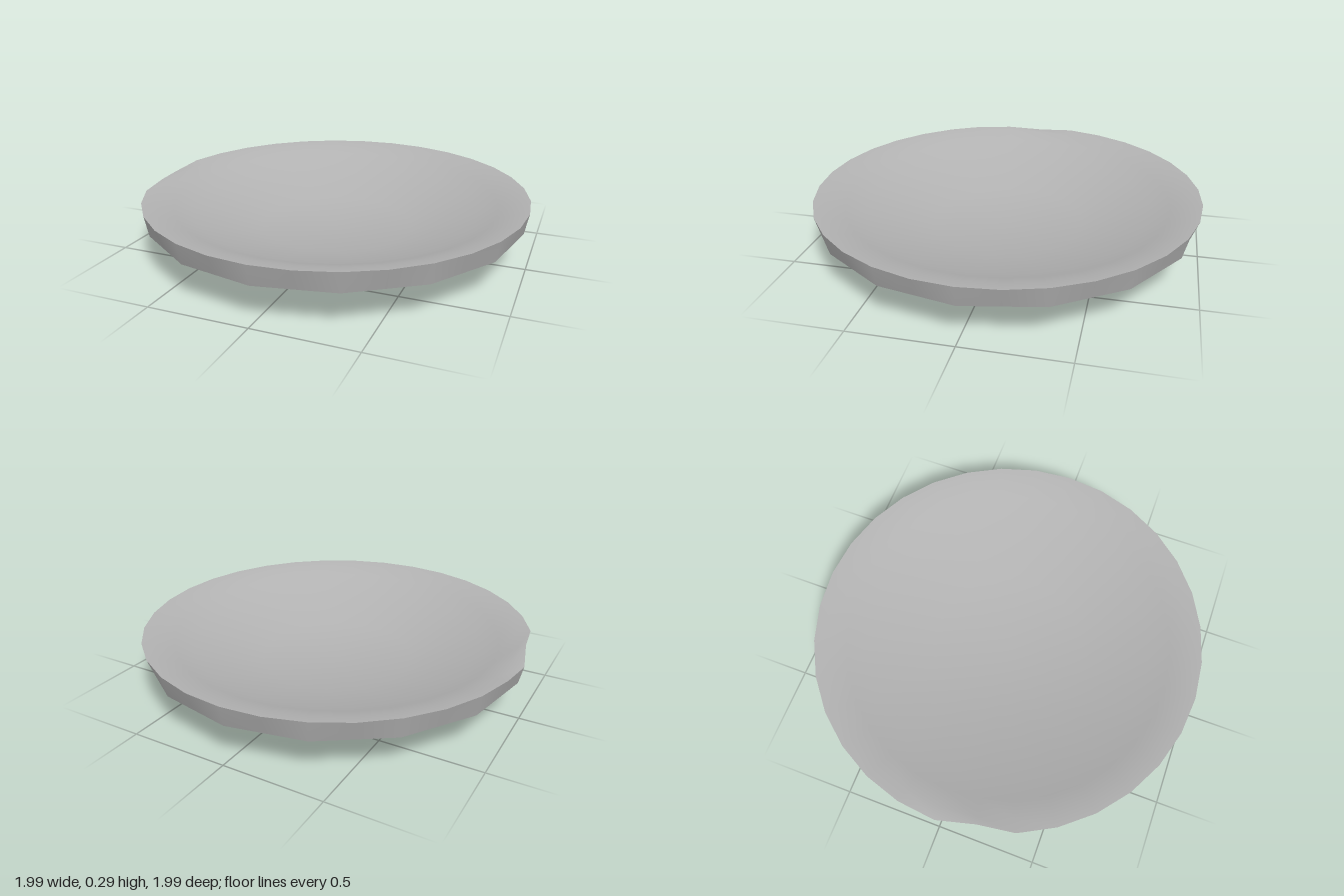
import * as THREE from 'three';
import { mergeVertices } from 'three/addons/utils/BufferGeometryUtils.js';

const SIDES = 32;
const material = new THREE.MeshStandardMaterial({ color: 0xb2b2b2 });
material.name = 'grey ceramic';

// Revolves [radius, height, coarse] points; coarse rings become 16-sided.
function revolve(name, profile) {
  const geometry = new THREE.LatheGeometry(profile.map(([r, y]) => new THREE.Vector2(r, y)), SIDES);
  const pos = geometry.attributes.position;
  const n = profile.length;
  const half = Math.cos(Math.PI / 16);
  for (let i = 0; i <= SIDES; i++) {
    for (let j = 0; j < n; j++) {
      const k = i * n + j;
      const [r, y, coarse] = profile[j];
      const s = coarse && i % 2 ? half : 1;
      pos.setXYZ(k, pos.getX(k) * s, y, pos.getZ(k) * s);
      // Small chip in the lip on the right-hand side
      if (r > 0.98 && i === 24) pos.setY(k, y - 0.015);
      if (r > 0.98 && i === 25) pos.setXYZ(k, pos.getX(k) * 0.97, y + 0.005, pos.getZ(k));
    }
  }
  geometry.deleteAttribute('uv');
  geometry.deleteAttribute('normal');
  const smooth = mergeVertices(geometry, 1e-4);
  smooth.computeVertexNormals();
  const mesh = new THREE.Mesh(smooth, material);
  mesh.name = name;
  return mesh;
}

export function createModel() {
  const group = new THREE.Group();
  group.name = 'shallowDish';
  group.add(
    // Flat base and its slightly raised foot ring
    revolve('base', [[0, 0, true], [0.42, 0, true]]),
    revolve('footRing', [[0.42, 0.005, true], [0.475, 0.012, true], [0.46, 0.022, true]]),
    // Sloping underside with a narrow shelf below the rim
    revolve('underside', [[0.45, 0.018, true], [0.9, 0.182, true], [0.975, 0.186, true]]),
    // Outer band, coarse below and rounder above
    revolve('rimBand', [[0.975, 0.186, true], [0.995, 0.29]]),
    // Rolled lip, hollow wall and floor
    revolve('bowlInside', [[0.995, 0.29], [0.93, 0.28], [0.84, 0.25], [0.74, 0.207], [0.4, 0.105, true], [0, 0.095, true]]),
  );
  return group;
}
